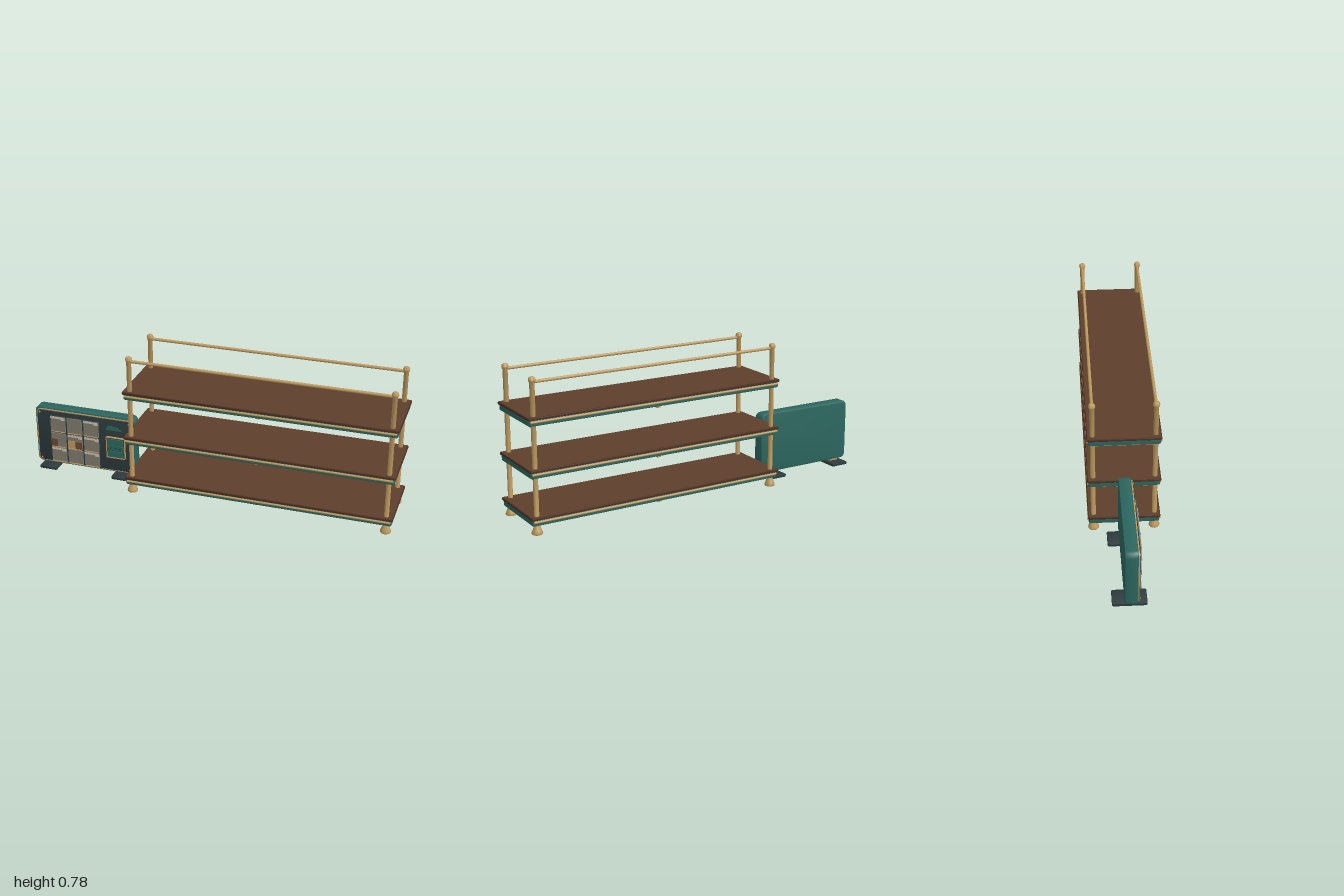
import * as THREE from 'three';
import { toCreasedNormals } from 'three/addons/utils/BufferGeometryUtils.js';

const mat = (name, color) => {
  const m = new THREE.MeshStandardMaterial({ color });
  m.name = name;
  return m;
};

export function createModel() {
  const wood = mat('walnut top', 0x5d3f2b);
  const darkWood = mat('dark walnut edge', 0x4d3022);
  const teal = mat('teal enamel', 0x2c665f);
  const brass = mat('brass', 0xbd9a5f);
  const slate = mat('slate', 0x2d3a3d);
  const pane = mat('grey beige pane', 0x817a6d);
  const cream = mat('cream', 0xc9c2b2);
  const brown = mat('brown goods', 0x6a4a30);

  const model = new THREE.Group();
  model.name = 'shelfAndDisplayPanel';
  const group = (name) => {
    const g = new THREE.Group();
    g.name = name;
    model.add(g);
    return g;
  };
  const add = (parent, name, geo, material, x = 0, y = 0, z = 0) => {
    const m = new THREE.Mesh(geo, material);
    m.name = name;
    m.position.set(x, y, z);
    parent.add(m);
    return m;
  };
  const box = (parent, name, material, x, y, z, w, h, d) =>
    add(parent, name, new THREE.BoxGeometry(w, h, d), material, x, y, z);

  const roundRect = (w, h, r, Type = THREE.Shape) => {
    const s = new Type(), a = w / 2, b = h / 2;
    s.moveTo(-a + r, -b);
    s.lineTo(a - r, -b);
    s.absarc(a - r, -b + r, r, -Math.PI / 2, 0, false);
    s.lineTo(a, b - r);
    s.absarc(a - r, b - r, r, 0, Math.PI / 2, false);
    s.lineTo(-a + r, b);
    s.absarc(-a + r, b - r, r, Math.PI / 2, Math.PI, false);
    s.lineTo(-a, -b + r);
    s.absarc(-a + r, -b + r, r, Math.PI, Math.PI * 1.5, false);
    return s;
  };
  // Rounded plate centred on the origin, thickness along z, with bevelled rims
  const plate = (w, h, d, r, bevel) => {
    const g = new THREE.ExtrudeGeometry(roundRect(w - 2 * bevel, h - 2 * bevel, r), {
      depth: d - 2 * bevel, bevelEnabled: bevel > 0, bevelSize: bevel,
      bevelThickness: bevel, bevelSegments: 2, curveSegments: 5,
    });
    g.translate(0, 0, -(d - 2 * bevel) / 2);
    return toCreasedNormals(g, 0.6);
  };
  const slab = (w, h, d, r, bevel) => plate(w, d, h, r, bevel).rotateX(-Math.PI / 2);
  // Rectangular frame with an open middle
  const frame = (w, h, d, r, t) => {
    const s = roundRect(w, h, r);
    s.holes.push(roundRect(w - 2 * t, h - 2 * t, Math.max(r - t, 0.002), THREE.Path));
    return new THREE.ExtrudeGeometry(s, { depth: d, bevelEnabled: false, curveSegments: 5 });
  };
  const rod = (parent, name, r, length, x, y, z) =>
    add(parent, name, new THREE.CylinderGeometry(r, r, length, 12).rotateZ(Math.PI / 2), brass, x, y, z);

  // ---- Shelving unit ----
  const cx = 0.284, postX = [-0.395, 0.961], postZ = [-0.155, 0.155];

  [0.047, 0.284, 0.541].forEach((y, i) => {
    const shelf = group('shelf' + (i + 1));
    add(shelf, 'tray', slab(1.416, 0.03, 0.36, 0.006, 0.006), teal, cx, y + 0.015, 0);
    add(shelf, 'woodEdge', slab(1.428, 0.014, 0.368, 0.006, 0.004), darkWood, cx, y + 0.036, 0);
    add(shelf, 'woodTop', slab(1.418, 0.002, 0.358, 0.005, 0), wood, cx, y + 0.0425, 0);
    for (const s of [-1, 1]) rod(shelf, 'brassTrim', 0.006, 1.405, cx, y + 0.02, s * 0.179);
    for (const x of [postX[0], cx, postX[1]])
      box(shelf, 'crossBar', brass, x, y - 0.006, 0, 0.02, 0.015, 0.31);
  });

  // Post, foot and finial in one turned profile
  const profile = [
    [0, 0], [0.026, 0], [0.028, 0.004], [0.027, 0.01], [0.022, 0.022], [0.016, 0.038],
    [0.0125, 0.048], [0.0125, 0.746], [0.016, 0.752], [0.0175, 0.761], [0.015, 0.77],
    [0.009, 0.775], [0, 0.776],
  ].map(([r, y]) => new THREE.Vector2(r, y));
  const postGeo = toCreasedNormals(new THREE.LatheGeometry(profile, 16), 0.7);
  const posts = group('posts');
  for (const x of postX) for (const z of postZ) add(posts, 'post', postGeo, brass, x, 0, z);
  for (const z of postZ) rod(posts, 'topRail', 0.008, 1.356, cx, 0.75, z);

  // ---- Standing display panel ----
  const panel = group('displayPanel');
  const px = -0.712, py = 0.189;
  add(panel, 'case', plate(0.576, 0.334, 0.064, 0.022, 0.008), teal, px, py, 0);
  add(panel, 'brassBorder', frame(0.556, 0.314, 0.007, 0.024, 0.005), brass, px, py, 0.031);
  add(panel, 'facePlate', plate(0.546, 0.304, 0.012, 0.02, 0.002), slate, px, py, 0.034);
  const screw = new THREE.CylinderGeometry(0.005, 0.005, 0.004, 10).rotateX(Math.PI / 2);
  for (const sx of [-1, 1]) for (const sy of [-1, 1])
    add(panel, 'screw', screw, brass, px + sx * 0.258, py + sy * 0.138, 0.041);

  // Feet and short necks
  for (const x of [-0.922, -0.502]) {
    add(panel, 'foot', slab(0.1, 0.015, 0.17, 0.006, 0.003), slate, x, 0.0085, -0.006);
    box(panel, 'neck', brass, x, 0.02, -0.01, 0.05, 0.014, 0.04);
  }

  // Three by three window with pale strips along the pane tops
  const cols = [-0.861, -0.765, -0.669], rows = [0.27, 0.175, 0.086];
  box(panel, 'windowBack', slate, -0.765, 0.179, 0.042, 0.288, 0.278, 0.006);
  rows.forEach((y, r) => cols.forEach((x, c) => {
    const h = r === 0 ? 0.09 : 0.083, top = y + h / 2;
    box(panel, 'pane', pane, x, y, 0.047, 0.086, h, 0.008);
    if ((r + c) % 2 === 0 || c === 2) {
      box(panel, 'paleStrip', cream, x - 0.012, top - 0.006, 0.0515, 0.06, 0.01, 0.002);
      box(panel, 'paleStripEnd', cream, x + 0.03, top - 0.01, 0.0515, 0.024, 0.016, 0.002);
    }
    box(panel, 'sill', brass, x, y - h / 2 + 0.002, 0.051, 0.082, 0.003, 0.01);
  }));
  box(panel, 'brownItem', brown, -0.885, 0.158, 0.0515, 0.034, 0.046, 0.003);
  box(panel, 'goldItem', brass, -0.786, 0.16, 0.0515, 0.04, 0.045, 0.003);
  box(panel, 'brownItem', brown, -0.743, 0.158, 0.0515, 0.038, 0.042, 0.003);

  // Control box with brass frame and dark slots
  add(panel, 'controlFrame', frame(0.108, 0.124, 0.014, 0.005, 0.004), brass, -0.53, 0.178, 0.038);
  box(panel, 'controlBack', slate, -0.53, 0.178, 0.044, 0.1, 0.116, 0.008);
  for (const y of [0.213, 0.142])
    box(panel, 'controlPlate', teal, -0.53, y, 0.05, 0.09, 0.034, 0.012);
  box(panel, 'controlBand', teal, -0.53, 0.178, 0.049, 0.094, 0.026, 0.008);
  for (const x of [-0.555, -0.53, -0.505])
    box(panel, 'controlSlot', slate, x, 0.178, 0.053, 0.01, 0.006, 0.003);

  // Stepped ornament above the control box
  box(panel, 'ornamentBase', teal, -0.54, 0.282, 0.041, 0.088, 0.009, 0.005);
  box(panel, 'ornamentStep', teal, -0.546, 0.292, 0.041, 0.064, 0.011, 0.005);
  box(panel, 'ornamentCap', teal, -0.556, 0.3, 0.041, 0.028, 0.006, 0.005);

  return model;
}
